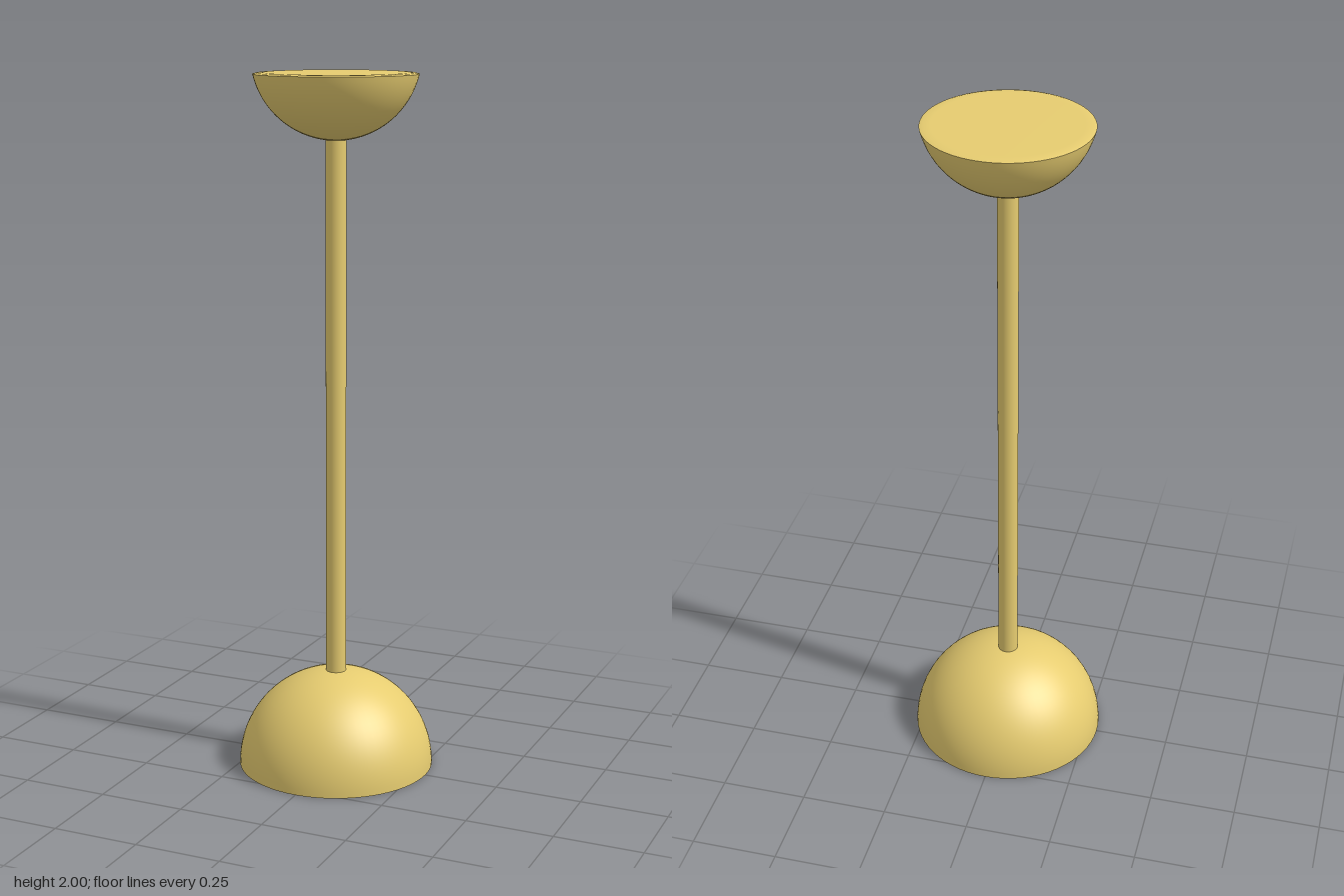
import * as THREE from 'three';

const SEGMENTS = 64;

// Points on a circular arc (radius, height), angle measured from straight down
function arc(radius, centreY, from, to, steps = 24) {
  const points = [];
  for (let i = 0; i <= steps; i++) {
    const a = from + (to - from) * i / steps;
    points.push(new THREE.Vector2(Math.max(0, radius * Math.sin(a)), centreY - radius * Math.cos(a)));
  }
  return points;
}

export function createModel() {
  const group = new THREE.Group();
  const material = new THREE.MeshStandardMaterial({ color: 0xe6cc70, side: THREE.DoubleSide });

  function add(name, geometry, y = 0) {
    const mesh = new THREE.Mesh(geometry, material);
    mesh.name = name;
    mesh.position.y = y;
    group.add(mesh);
  }

  // Hollow half-sphere foot, open underneath
  add('baseDome', new THREE.LatheGeometry(arc(0.283, 0, Math.PI / 2, Math.PI), SEGMENTS));

  // Slim straight stem, ending just inside both domes
  const bottom = 0.27, top = 1.83;
  add('stem', new THREE.CylinderGeometry(0.029, 0.029, top - bottom, 32), (bottom + top) / 2);

  // Upturned bowl, cut just below its widest point
  const radius = 0.235, centreY = 2.05, rimY = 1.996;
  const rimAngle = Math.acos((centreY - rimY) / radius);
  add('topBowl', new THREE.LatheGeometry(arc(radius, centreY, 0, rimAngle), SEGMENTS));

  // Nearly flat lid, softened at the rim
  const rim = radius * Math.sin(rimAngle);
  add('topLid', new THREE.LatheGeometry([
    new THREE.Vector2(rim, rimY),
    new THREE.Vector2(rim - 0.01, 1.999),
    new THREE.Vector2(rim - 0.03, 2),
    new THREE.Vector2(0, 2),
  ], SEGMENTS));

  return group;
}
